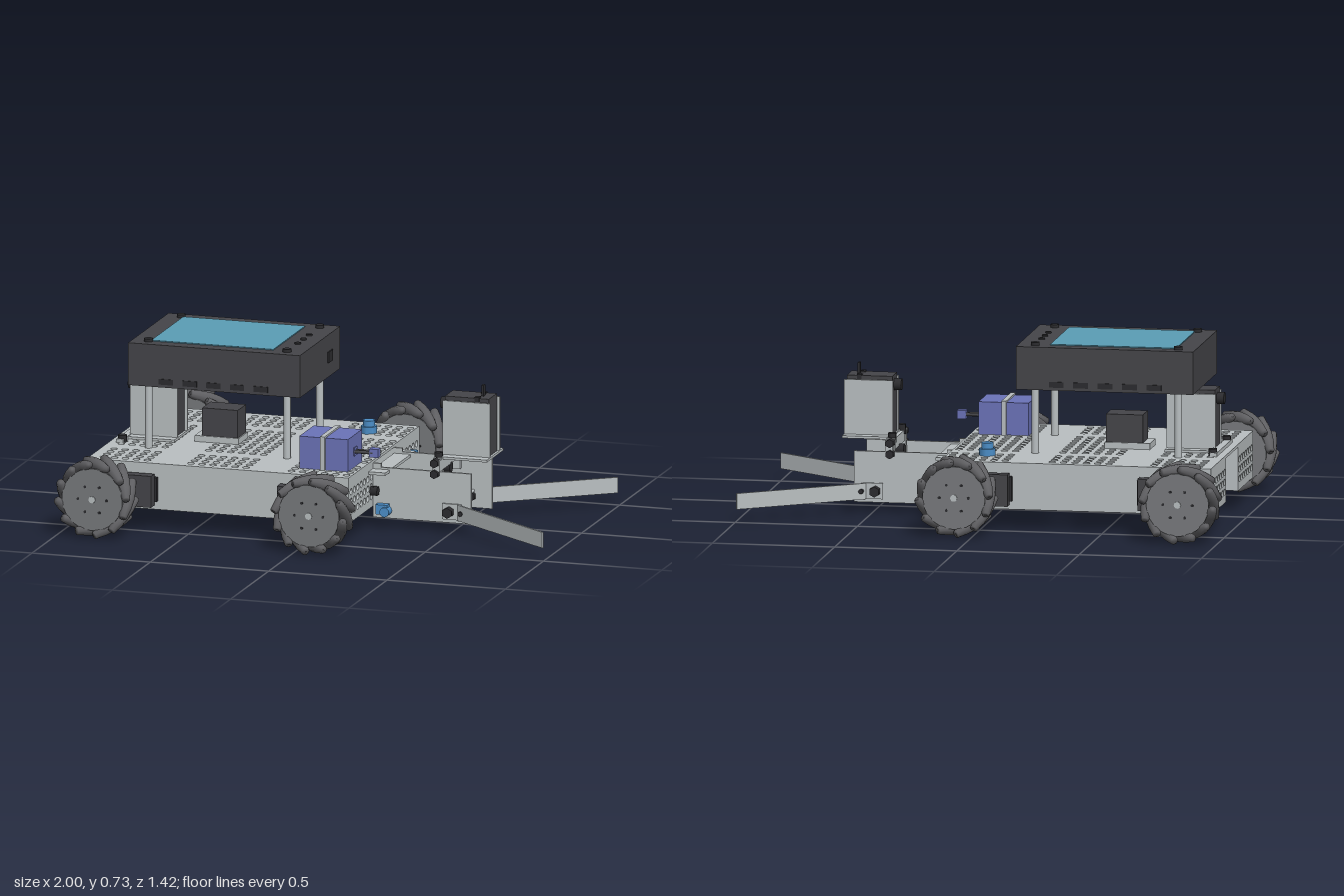
import * as THREE from 'three';

const mat = (name, color) => Object.assign(new THREE.MeshStandardMaterial({ color }), { name });

export function createModel() {
  const metal = mat('brushed metal', 0xb9bfc1);
  const dark = mat('dark plastic', 0x454549);
  const rubber = mat('roller rubber', 0x5f5f62);
  const hubGrey = mat('hub grey', 0x77797c);
  const black = mat('black hardware', 0x2c2c2f);
  const teal = mat('screen teal', 0x5a9db5);
  const purple = mat('pump purple', 0x6b73b8);
  const blue = mat('sensor blue', 0x4c8fc9);

  const root = new THREE.Group();
  root.name = 'robot';

  const add = (name, geo, m, parent = root) => {
    const mesh = new THREE.Mesh(geo, m);
    mesh.name = name;
    parent.add(mesh);
    return mesh;
  };
  const box = (name, m, x0, x1, y0, y1, z0, z1, parent) => {
    const mesh = add(name, new THREE.BoxGeometry(Math.abs(x1 - x0), Math.abs(y1 - y0), Math.abs(z1 - z0)), m, parent);
    mesh.position.set((x0 + x1) / 2, (y0 + y1) / 2, (z0 + z1) / 2);
    return mesh;
  };
  const rod = (name, m, axis, r, len, x, y, z, parent, sides = 16) => {
    const g = new THREE.CylinderGeometry(r, r, len, sides);
    if (axis === 'x') g.rotateZ(Math.PI / 2);
    if (axis === 'z') g.rotateX(Math.PI / 2);
    const mesh = add(name, g, m, parent);
    mesh.position.set(x, y, z);
    return mesh;
  };
  // flat plate with round holes, lying in its own xy plane
  const perforated = (x0, x1, y0, y1, holes, r, depth) => {
    const s = new THREE.Shape([[x0, y0], [x1, y0], [x1, y1], [x0, y1]].map(p => new THREE.Vector2(...p)));
    for (const [x, y] of holes) s.holes.push(new THREE.Path().absarc(x, y, r, 0, Math.PI * 2, true));
    return new THREE.ExtrudeGeometry(s, { depth, bevelEnabled: false, curveSegments: 8 });
  };

  // deck
  const deckHoles = [];
  for (const [start, count] of [[-0.885, 5], [-0.515, 6], [-0.09, 6]])
    for (let i = 0; i < count; i++)
      for (let j = -9; j <= 9; j++)
        if (Math.abs(j) !== 5) deckHoles.push([start + i * 0.0465, j * 0.0465]);
  const deck = perforated(-0.94, 0.165, -0.465, 0.465, deckHoles, 0.0145, 0.012);
  deck.rotateX(-Math.PI / 2);
  add('deck', deck, metal).position.y = 0.263;

  // side walls, end walls and the long inner rails
  for (const s of [-1, 1]) {
    box('sideWall', metal, -0.94, 0.165, 0.085, 0.264, s * 0.453, s * 0.465);
    const holes = [];
    for (let i = 0; i < 7; i++) for (let j = 0; j < 3; j++) holes.push([s * (0.165 + i * 0.044), 0.13 + j * 0.04]);
    for (const x of [0.165, -0.928]) {
      const a = Math.min(s * 0.14, s * 0.453), b = Math.max(s * 0.14, s * 0.453);
      const g = perforated(a, b, 0.085, 0.264, holes, 0.014, 0.012);
      g.rotateY(-Math.PI / 2);
      add('endWall', g, metal).position.x = x;
    }
    box('innerRail', metal, -0.94, 0.2, 0.085, 0.263, s * 0.132, s * 0.144);
    box('frontRail', metal, 0.165, 0.58, 0.04, 0.248, s * 0.132, s * 0.144);
    box('railBracket', metal, 0.165, 0.235, 0.228, 0.24, s * 0.144, s * 0.2);
  }
  box('frontCrossPlate', metal, 0.165, 0.235, 0.228, 0.24, -0.132, 0.132);
  for (const x of [-0.75, -0.35, 0.05]) box('railBrace', metal, x, x + 0.012, 0.16, 0.263, -0.132, 0.132);
  rod('crossRod', metal, 'z', 0.006, 0.27, 0.5, 0.11, 0);

  // mecanum wheels with motors
  const barrel = new THREE.LatheGeometry(
    [[0, -0.09], [0.016, -0.09], [0.024, -0.045], [0.027, 0], [0.024, 0.045], [0.016, 0.09], [0, 0.09]]
      .map(p => new THREE.Vector2(...p)), 10);
  const makeWheel = (x, s, slant) => {
    const wheel = new THREE.Group();
    wheel.name = 'wheel';
    wheel.position.set(x, 0.163, s * 0.635);
    root.add(wheel);
    for (const z of [-0.054, 0.054]) rod('hubDisc', hubGrey, 'z', 0.128, 0.008, 0, 0, z, wheel, 30);
    rod('hubCore', rubber, 'z', 0.085, 0.1, 0, 0, 0, wheel, 20);
    rod('axleCap', metal, 'z', 0.014, 0.125, 0, 0, 0, wheel, 12);
    for (let i = 0; i < 6; i++) {
      const a = i * Math.PI / 3;
      rod('hubScrew', black, 'z', 0.006, 0.122, 0.06 * Math.cos(a), 0.06 * Math.sin(a), 0, wheel, 6);
    }
    for (let i = 0; i < 12; i++) {
      const holder = new THREE.Group();
      holder.name = 'rollerMount';
      holder.rotation.z = i * Math.PI / 6;
      wheel.add(holder);
      const roller = add('roller', barrel, rubber, holder);
      roller.position.x = 0.132;
      roller.rotation.x = slant * Math.PI / 4;
    }
  };
  for (const x of [-0.845, 0.07]) for (const s of [-1, 1]) {
    makeWheel(x, s, s * (x > 0 ? 1 : -1));
    const c = x > 0 ? 0.012 : -0.78;
    box('gearbox', dark, c - 0.13, c + 0.13, 0.105, 0.235, s * 0.48, s * 0.525);
    box('gearboxMount', black, c - 0.14, c + 0.14, 0.12, 0.22, s * 0.465, s * 0.482);
    rod('motor', dark, 'z', 0.055, 0.2, c, 0.17, s * 0.36);
    rod('axle', metal, 'z', 0.015, 0.09, x, 0.163, s * 0.55);
  }

  // display unit on four posts
  box('displayCase', dark, -0.83, -0.105, 0.54, 0.715, -0.265, 0.265);
  box('screen', teal, -0.75, -0.235, 0.714, 0.719, -0.21, 0.21);
  for (const x of [-0.76, -0.175]) for (const z of [-0.215, 0.215]) {
    rod('displayPost', metal, 'y', 0.015, 0.27, x, 0.408, z);
    rod('caseScrew', black, 'y', 0.018, 0.015, x, 0.72, z, root, 12);
  }
  for (const z of [-0.075, 0, 0.075]) rod('button', black, 'y', 0.013, 0.008, -0.175, 0.717, z, root, 12);
  box('sidePort', black, -0.106, -0.1, 0.6, 0.645, -0.155, -0.1);
  for (let i = 0; i < 5; i++)
    for (const z of [-0.265, 0.265]) box('caseSlot', black, -0.7 + i * 0.1, -0.64 + i * 0.1, 0.552, 0.575, z - 0.003, z + 0.003);

  // bracketed servos; +x is the far side, the output faces -x
  const makeServo = (x, y, name) => {
    const g = new THREE.Group();
    g.name = name;
    g.position.set(x, y, 0);
    root.add(g);
    for (const s of [-1, 1]) {
      box('servoSidePlate', metal, -0.1, 0.1, 0, 0.225, s * 0.06, s * 0.068, g);
      box('servoEar', black, 0.03, 0.05, 0.225, 0.245, s * 0.03, s * 0.055, g);
    }
    box('servoFoot', metal, -0.1, 0.1, -0.008, 0.002, -0.11, 0.11, g);
    box('servoBody', dark, -0.095, 0.09, 0.002, 0.24, -0.053, 0.053, g);
    box('servoCable', black, 0.045, 0.055, 0.24, 0.285, -0.01, 0.01, g);
    rod('servoOutput', black, 'x', 0.024, 0.04, -0.105, 0.2, 0, g);
    return g;
  };
  makeServo(0.535, 0.3, 'frontServo');
  makeServo(-0.785, 0.285, 'rearServo');
  box('rearServoBracket', metal, -0.91, -0.88, 0.275, 0.29, -0.175, 0.175);
  for (const s of [-1, 1]) rod('rearBracketBolt', black, 'y', 0.018, 0.03, -0.89, 0.29, s * 0.155, root, 6);

  // front servo mount and swinging finger
  box('servoMountBar', metal, 0.42, 0.45, 0.25, 0.295, -0.155, 0.155);
  for (const s of [-1, 1]) {
    for (const y of [0.24, 0.285]) rod('mountBolt', black, 'z', 0.018, 0.04, 0.43, y, s * 0.15, root, 6);
    rod('mountStud', black, 'y', 0.018, 0.04, 0.43, 0.3, s * 0.105, root, 6);
    box('mountTab', metal, 0.415, 0.45, 0.2, 0.3, s * 0.112, s * 0.132);
  }
  box('finger', metal, 0.412, 0.424, 0.085, 0.235, -0.021, 0.021);
  for (const y of [0.085, 0.235]) rod('fingerEnd', metal, 'x', 0.021, 0.012, 0.418, y, 0);
  rod('fingerPivot', black, 'x', 0.023, 0.05, 0.425, 0.235, 0);

  // splayed guide arms
  for (const s of [-1, 1]) {
    const from = new THREE.Vector2(0.53, 0.157), to = new THREE.Vector2(0.995, 0.493);
    const arm = add('guideArm', new THREE.BoxGeometry(from.distanceTo(to), 0.065, 0.008), metal);
    arm.position.set((from.x + to.x) / 2, 0.087, s * (from.y + to.y) / 2);
    arm.rotation.y = -s * Math.atan2(to.y - from.y, to.x - from.x);
    box('armFoot', metal, 0.46, 0.54, 0.055, 0.12, s * 0.146, s * 0.154);
    rod('armBolt', black, 'z', 0.022, 0.07, 0.49, 0.088, s * 0.15, root, 6);
    rod('armPin', black, 'z', 0.01, 0.04, 0.545, 0.088, s * 0.165, root, 8);
    rod('railBolt', black, 'x', 0.02, 0.03, 0.18, 0.155, s * 0.17, root, 6);
  }

  // small motor under the display
  box('smallMotorMount', metal, -0.615, -0.43, 0.275, 0.3, -0.06, 0.06);
  box('smallMotor', dark, -0.585, -0.435, 0.3, 0.415, -0.055, 0.055);

  // pump with strap and nozzle
  box('pumpBody', purple, -0.075, 0.13, 0.275, 0.408, 0.177, 0.365);
  box('strap', metal, 0.015, 0.035, 0.275, 0.415, 0.168, 0.375);
  box('pumpPlate', purple, 0.129, 0.134, 0.322, 0.357, 0.253, 0.288);
  for (const z of [0.26, 0.282]) rod('nozzlePipe', dark, 'x', 0.007, 0.08, 0.17, 0.34, z, root, 8);
  box('nozzle', purple, 0.195, 0.232, 0.322, 0.357, 0.253, 0.288);

  // distance sensor, top knob and rail sensors
  box('distanceSensor', blue, 0.165, 0.195, 0.128, 0.205, -0.352, -0.208);
  for (const z of [-0.315, -0.247]) rod('sensorEye', blue, 'x', 0.026, 0.045, 0.213, 0.167, z, root, 20);
  rod('knobBase', blue, 'y', 0.034, 0.03, 0.005, 0.288, -0.3, root, 8);
  rod('knob', blue, 'y', 0.024, 0.05, 0.005, 0.302, -0.3);
  for (const s of [-1, 1]) {
    box('railSensor', blue, 0.185, 0.235, 0.06, 0.1, s * 0.145, s * 0.175);
    rod('railSensorEye', blue, 'z', 0.02, 0.045, 0.225, 0.072, s * 0.162);
    box('rearRailSensor', blue, -0.8, -0.76, 0.1, 0.13, s * 0.144, s * 0.165);
  }
  return root;
}
